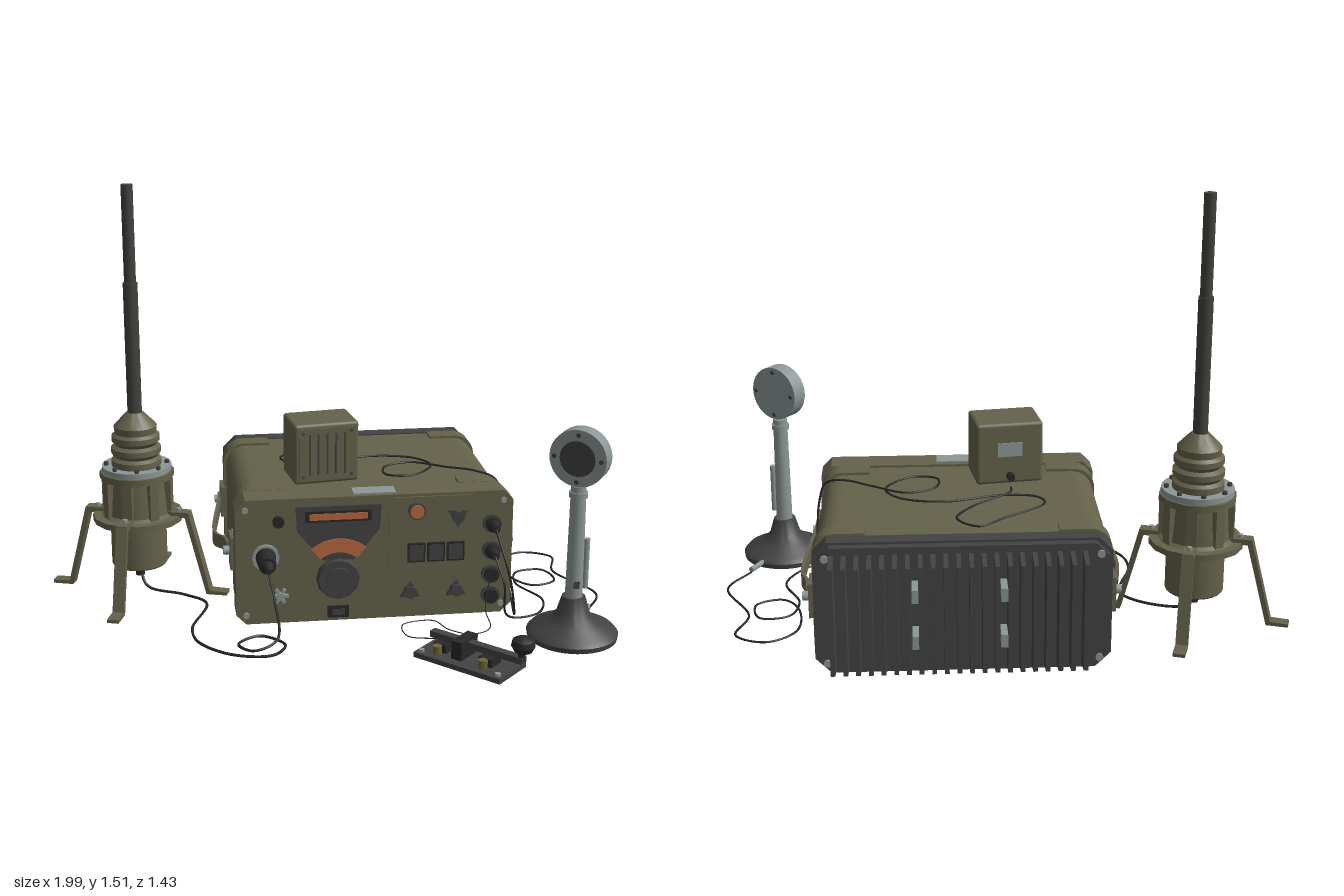
import * as THREE from 'three';
import { toCreasedNormals } from 'three/addons/utils/BufferGeometryUtils.js';
import { RoundedBoxGeometry } from 'three/addons/geometries/RoundedBoxGeometry.js';

const paint = (name, color) => Object.assign(new THREE.MeshStandardMaterial({ color }), { name });
const olive = paint('olive', 0x64624a);
const dark = paint('dark grey', 0x434343);
const black = paint('black', 0x282828);
const steel = paint('light steel', 0x8d9696);
const orange = paint('amber', 0xb8683f);
const mastGrey = paint('mast grey', 0x41423d);
const brass = paint('brass', 0x6e6434);

function add(parent, name, geo, mat, x = 0, y = 0, z = 0) {
  const m = new THREE.Mesh(geo, mat);
  m.name = name;
  m.position.set(x, y, z);
  parent.add(m);
  return m;
}
function group(parent, name, x = 0, y = 0, z = 0) {
  const g = new THREE.Group();
  g.name = name;
  g.position.set(x, y, z);
  parent.add(g);
  return g;
}
const box = (w, h, d) => new THREE.BoxGeometry(w, h, d);
const cyl = (r, h, n = 24, r2 = r) => new THREE.CylinderGeometry(r2, r, h, n);
// Cylinder whose axis runs along z
const disc = (r, d, n = 24, rFront = r) => cyl(r, d, n, rFront).rotateX(Math.PI / 2);
const lathe = (pts, n = 32) =>
  toCreasedNormals(new THREE.LatheGeometry(pts.map(p => new THREE.Vector2(...p)), n), 0.6);
function extrude(shape, depth) {
  return toCreasedNormals(new THREE.ExtrudeGeometry(shape, { depth, bevelEnabled: false, curveSegments: 10 }), 0.5);
}
const polygon = pts => new THREE.Shape(pts.map(p => new THREE.Vector2(...p)));
// Rectangle centred on the origin with cut corners
const cutRect = (w, h, c) => polygon([[-w + c, -h], [w - c, -h], [w, -h + c], [w, h - c], [w - c, h], [-w + c, h], [-w, h - c], [-w, -h + c]]);
function roundRect(w, h, r) {
  const s = new THREE.Shape();
  s.absarc(w - r, -h + r, r, -Math.PI / 2, 0);
  s.absarc(w - r, h - r, r, 0, Math.PI / 2);
  s.absarc(-w + r, h - r, r, Math.PI / 2, Math.PI);
  s.absarc(-w + r, -h + r, r, Math.PI, Math.PI * 1.5);
  return s;
}
function cable(parent, name, pts, r = 0.005) {
  const curve = new THREE.CatmullRomCurve3(pts.map(p => new THREE.Vector3(...p)));
  add(parent, name, new THREE.TubeGeometry(curve, pts.length * 9, r, 6), black);
}

function buildRadio(root) {
  const g = group(root, 'radio', 0.145, 0.25, 0);
  // Case, front frame and rear plate
  add(g, 'case', extrude(roundRect(0.48, 0.222, 0.075), 0.64), olive, 0, 0, -0.56);
  add(g, 'frontFrame', extrude(cutRect(0.49, 0.23, 0.035), 0.1), olive, 0, 0, 0.07);
  add(g, 'rearRim', extrude(cutRect(0.483, 0.226, 0.045), 0.055), dark, 0, 0, -0.61);
  add(g, 'rearPlate', extrude(cutRect(0.472, 0.218, 0.045), 0.03), dark, 0, 0, -0.638);
  // Wrapped corner straps and handle mounts
  const wrap = new THREE.Shape();
  wrap.moveTo(0.315, 0.21);
  wrap.lineTo(0.41, 0.21);
  wrap.absarc(0.41, 0.151, 0.06, Math.PI / 2, 0, true);
  wrap.lineTo(0.47, 0.06);
  wrap.lineTo(0.489, 0.06);
  wrap.absarc(0.413, 0.155, 0.076, 0, Math.PI / 2);
  wrap.lineTo(0.315, 0.231);
  const wrapGeo = extrude(wrap, 0.07).translate(0, 0, -0.035);
  for (const z of [0.035, -0.515]) {
    for (const [rx, ry] of [[0, 0], [0, Math.PI], [Math.PI, 0], [Math.PI, Math.PI]])
      add(g, 'cornerStrap', wrapGeo, olive, 0, 0, z).rotation.set(rx, ry, 0);
    for (const s of [-1, 1]) {
      add(g, 'bottomFoot', box(0.09, 0.012, 0.07), olive, s * 0.36, -0.23, z);
      add(g, 'handleMount', box(0.025, 0.12, 0.09), olive, s * 0.49, 0, z);
      add(g, 'handleBolt', cyl(0.016, 0.025, 12).rotateZ(Math.PI / 2), steel, s * 0.512, 0, z);
      for (const y of [-0.07, 0.07]) add(g, 'mountScrew', box(0.012, 0.014, 0.014), steel, s * 0.487, y, z);
    }
  }
  // Sagging carrying straps
  for (const s of [-1, 1]) {
    const strap = new THREE.BoxGeometry(0.012, 0.05, 0.54, 1, 1, 18);
    const p = strap.attributes.position;
    for (let i = 0; i < p.count; i++) {
      const k = 0.5 + 0.5 * Math.cos((p.getZ(i) / 0.27) * Math.PI);
      p.setX(i, p.getX(i) + s * 0.035 * k);
      p.setY(i, p.getY(i) - 0.05 * k);
    }
    add(g, 'carryStrap', toCreasedNormals(strap, 0.6), olive, s * 0.508, 0.005, -0.24);
  }
  // Cooling fins with slanted ends, and lugs between them
  const fin = extrude(polygon([[0.6, -0.205], [0.63, -0.205], [0.718, -0.19], [0.718, 0.18], [0.63, 0.195], [0.6, 0.195]]), 0.015).rotateY(Math.PI / 2);
  for (let i = 0; i < 21; i++) add(g, 'coolingFin', fin, dark, -0.397 + i * 0.0405, 0, 0);
  for (const x of [-0.135, 0.148]) for (const y of [-0.08, 0.08]) add(g, 'rearLug', box(0.036, 0.045, 0.084), steel, x, y, -0.674);
  for (const x of [-0.455, 0.455]) for (const y of [-0.195, 0.195]) {
    add(g, 'panelScrew', disc(0.011, 0.012, 10), steel, x, y, 0.172);
    add(g, 'rearScrew', disc(0.013, 0.012, 10), steel, x * 0.97, y * 0.94, -0.64);
  }
  add(g, 'topLabel', box(0.15, 0.006, 0.065), steel, 0, 0.232, 0.122);
  add(g, 'bottomSlot', box(0.32, 0.006, 0.012), black, 0, -0.222, -0.25);
}

function buildPanel(root) {
  const g = group(root, 'controlPanel', 0, 0, 0.17);
  // Tuning display
  add(g, 'tuningPlate', extrude(polygon([[-0.13, 0.36], [-0.04, 0.25], [0.07, 0.25], [0.16, 0.36], [0.165, 0.45], [-0.135, 0.45]]), 0.008), dark);
  add(g, 'scaleFrame', box(0.23, 0.04, 0.004), black, 0.015, 0.413, 0.009);
  add(g, 'scaleStrip', box(0.205, 0.024, 0.006), orange, 0.015, 0.413, 0.01);
  const arc = new THREE.Shape();
  arc.absarc(0, 0, 0.15, 0.87, Math.PI - 0.87);
  arc.absarc(0, 0, 0.1, Math.PI - 0.87, 0.87, true);
  add(g, 'scaleArc', extrude(arc, 0.005), orange, 0.015, 0.18, 0.008);
  add(g, 'tuningKnob', disc(0.08, 0.025, 12, 0.072), dark, 0.015, 0.18, 0.008);
  add(g, 'tuningKnobCap', disc(0.045, 0.012, 20), dark, 0.015, 0.18, 0.024);
  add(g, 'counterFrame', box(0.075, 0.042, 0.012), black, 0.015, 0.055, 0.004);
  add(g, 'counterWindow', box(0.045, 0.022, 0.006), dark, 0.015, 0.055, 0.01);
  // Switch area
  add(g, 'switchPlate', extrude(cutRect(0.155, 0.135, 0.02), 0.006), olive, 0.345, 0.335, 0);
  add(g, 'lampRing', disc(0.031, 0.018), dark, 0.29, 0.42, 0.008);
  add(g, 'lamp', disc(0.025, 0.014), orange, 0.29, 0.42, 0.015);
  for (const x of [0.29, 0.36, 0.43]) {
    add(g, 'switchFrame', box(0.062, 0.07, 0.012), black, x, 0.265, 0.008);
    add(g, 'switchKey', box(0.05, 0.056, 0.014), dark, x, 0.265, 0.01);
  }
  for (const [x, y, turn] of [[0.435, 0.395, 0], [0.27, 0.12, Math.PI], [0.435, 0.12, Math.PI]]) {
    add(g, 'selectorKnob', disc(0.04, 0.014, 3), dark, x, y, 0.01).rotation.z = turn;
    add(g, 'selectorHub', disc(0.022, 0.03, 12), dark, x, y, 0.014);
  }
  add(g, 'smallButton', disc(0.02, 0.02), black, -0.195, 0.4, 0.008);
  // Star-shaped ground terminal
  add(g, 'groundTerminal', disc(0.014, 0.026, 12), steel, -0.19, 0.125, 0.008);
  for (let i = 0; i < 3; i++) add(g, 'groundStar', box(0.058, 0.011, 0.014), steel, -0.19, 0.125, 0.008).rotation.z = i * Math.PI / 3;
  // Connectors
  add(g, 'aerialSocket', disc(0.048, 0.014, 12), steel, -0.24, 0.27, 0.006);
  add(g, 'aerialPlug', disc(0.036, 0.07, 16, 0.03), black, -0.24, 0.27, 0.045).rotation.x = 0.1;
  add(g, 'aerialPlugTail', disc(0.026, 0.05, 12, 0.01), black, -0.24, 0.265, 0.1);
  for (const y of [0.36, 0.26, 0.17, 0.09]) {
    add(g, 'socketRing', disc(0.034, 0.012, 12), dark, 0.56, y, 0.005);
    add(g, 'socketCap', disc(0.026, 0.025, 12), black, 0.56, y, 0.015);
  }
  for (const y of [0.36, 0.26]) add(g, 'plug', disc(0.027, 0.065, 14, 0.014), black, 0.56, y, 0.04);
}

function buildSpeaker(root) {
  const g = group(root, 'speaker', -0.02, 0.485, -0.055);
  g.rotation.y = 0.14;
  add(g, 'speakerBox', new RoundedBoxGeometry(0.235, 0.22, 0.175, 2, 0.012), olive, 0, 0.11, 0);
  add(g, 'speakerFace', box(0.2, 0.19, 0.012), olive, 0, 0.11, 0.088);
  for (let i = 0; i < 5; i++) add(g, 'ventSlot', box(0.007, 0.15, 0.004), dark, -0.064 + i * 0.032, 0.11, 0.093);
  for (const x of [-0.088, 0.088]) for (const y of [0.03, 0.19]) add(g, 'faceScrew', disc(0.006, 0.006, 8), dark, x, y, 0.094);
  add(g, 'speakerLabel', box(0.085, 0.05, 0.006), steel, 0, 0.125, -0.088);
  add(g, 'cableGland', disc(0.014, 0.03, 10), black, 0, 0.03, -0.098);
}

function buildAntenna(root) {
  const g = group(root, 'antenna', -0.675, 0, -0.235);
  add(g, 'upperMast', cyl(0.021, 0.36, 16), mastGrey, 0, 1.337, 0);
  add(g, 'lowerMast', cyl(0.026, 0.5, 16), mastGrey, 0, 0.92, 0);
  add(g, 'ribbedCone', lathe([[0.09, 0.49], [0.09, 0.52], [0.076, 0.53], [0.09, 0.545], [0.09, 0.565], [0.074, 0.575],
    [0.087, 0.59], [0.087, 0.61], [0.075, 0.62], [0.078, 0.645], [0.05, 0.675], [0.03, 0.695], [0, 0.695]]), olive);
  add(g, 'clampRing', cyl(0.126, 0.02, 32), steel, 0, 0.487, 0);
  add(g, 'housing', lathe([[0, 0.115], [0.098, 0.115], [0.102, 0.12], [0.102, 0.28], [0.135, 0.285], [0.135, 0.31], [0.118, 0.32], [0.105, 0.478], [0, 0.478]]), olive);
  add(g, 'upperCollar', cyl(0.135, 0.025, 12), olive, 0, 0.463, 0);
  add(g, 'legFlange', cyl(0.165, 0.022, 16), olive, 0, 0.3, 0);
  add(g, 'cableOutlet', cyl(0.018, 0.05, 10), black, 0, 0.09, 0);
  for (let i = 0; i < 8; i++) {
    const a = i * Math.PI / 4;
    add(g, 'clampBolt', cyl(0.009, 0.014, 6), dark, 0.11 * Math.cos(a), 0.502, 0.11 * Math.sin(a));
    const rib = group(g, 'ribMount');
    rib.rotation.y = a - 0.3;
    add(rib, 'housingRib', box(0.03, 0.15, 0.035), olive, 0.115, 0.385, 0);
  }
  // Four splayed legs
  const profile = polygon([[0.12, 0.305], [0.182, 0.305], [0.258, 0.012], [0.335, 0.012], [0.335, 0.024], [0.272, 0.026], [0.196, 0.325], [0.12, 0.325]]);
  for (let i = 0; i < 4; i++) {
    const leg = group(g, 'leg');
    leg.rotation.y = -0.31 + i * Math.PI / 2;
    add(leg, 'legBar', extrude(profile, 0.042), olive, 0, 0, -0.021);
    add(leg, 'legBolt', cyl(0.009, 0.016, 8), steel, 0.155, 0.328, 0);
  }
}

function buildMicrophone(root) {
  const g = group(root, 'microphone', 0.805, 0, 0.38);
  add(g, 'micBase', lathe([[0, 0.012], [0.155, 0.012], [0.158, 0.03], [0.145, 0.045], [0.09, 0.065], [0.058, 0.1], [0.04, 0.16], [0, 0.16]], 40), dark);
  add(g, 'micPole', cyl(0.03, 0.4, 20, 0.026), steel, 0, 0.36, 0);
  add(g, 'poleCollar', cyl(0.032, 0.02, 20), steel, 0, 0.53, 0);
  add(g, 'poleClip', cyl(0.011, 0.18, 10), steel, 0.036, 0.28, 0.005);
  add(g, 'poleSwitch', box(0.02, 0.025, 0.015), dark, 0, 0.21, 0.024);
  add(g, 'baseCableSleeve', cyl(0.01, 0.08, 10), steel, 0.095, 0.03, -0.16).rotation.set(Math.PI / 2, 0, 0.5);
  const head = group(g, 'micHead', 0, 0.665, 0.005);
  head.rotation.y = -0.61;
  add(head, 'headShell', disc(0.1, 0.06, 32), steel);
  add(head, 'headGrille', disc(0.062, 0.008, 28), dark, 0, 0, 0.031);
  for (let i = 0; i < 4; i++) for (const s of [-1, 1]) {
    const a = i * Math.PI / 2;
    add(head, 'headScrew', disc(0.008, 0.008, 8), dark, 0.082 * Math.cos(a), 0.082 * Math.sin(a), s * 0.031);
  }
}

function buildKey(root) {
  const g = group(root, 'telegraphKey', 0.41, 0, 0.528);
  g.rotation.y = -Math.PI / 4;
  add(g, 'keyBase', box(0.34, 0.018, 0.165), dark, 0, 0.013, 0);
  add(g, 'keyLever', box(0.36, 0.022, 0.03), dark, 0.03, 0.07, 0);
  add(g, 'leverBridge', box(0.04, 0.065, 0.1), black, -0.02, 0.056, 0);
  for (const x of [-0.1, 0.08]) {
    add(g, 'contactBlock', box(0.05, 0.03, 0.06), black, x, 0.036, 0);
    for (const s of [-1, 1]) add(g, 'terminal', cyl(0.016, 0.03, 10), brass, x, 0.036, s * 0.042);
  }
  for (const x of [-0.15, 0.15]) for (const s of [-1, 1]) add(g, 'baseScrew', cyl(0.01, 0.01, 8), steel, x, 0.026, s * 0.062);
  add(g, 'keyStem', cyl(0.012, 0.05, 10), black, 0.2, 0.09, 0);
  add(g, 'keyKnob', lathe([[0, 0.1], [0.03, 0.103], [0.04, 0.122], [0.036, 0.142], [0.018, 0.152], [0, 0.153]], 20), black, 0.205, 0, 0);
}

export function createModel() {
  const root = new THREE.Group();
  root.name = 'fieldRadioSet';
  [buildRadio, buildPanel, buildSpeaker, buildAntenna, buildMicrophone, buildKey].forEach(build => build(root));
  // Cables
  cable(root, 'aerialCable', [[-0.675, 0.09, -0.235], [-0.65, 0.03, -0.2], [-0.52, 0.015, -0.14], [-0.44, 0.015, -0.05], [-0.5, 0.015, 0.17],
    [-0.48, 0.015, 0.29], [-0.37, 0.015, 0.4], [-0.24, 0.015, 0.42], [-0.19, 0.015, 0.34], [-0.27, 0.02, 0.27], [-0.35, 0.025, 0.34],
    [-0.3, 0.03, 0.41], [-0.22, 0.06, 0.39], [-0.225, 0.18, 0.34], [-0.24, 0.265, 0.28]]);
  const top = [[-0.035, -0.16], [-0.03, -0.2], [0.1, -0.32], [0.16, -0.43], [0.09, -0.5], [0, -0.43], [-0.14, -0.31], [-0.12, -0.25], [0, -0.23],
    [0.2, -0.28], [0.35, -0.24], [0.4, -0.15], [0.31, -0.04], [0.22, -0.06], [0.23, -0.15], [0.33, -0.19], [0.45, -0.12], [0.55, -0.06]];
  cable(root, 'speakerCable', [...top.map(([x, z]) => [x, 0.477, z]), [0.615, 0.455, -0.03], [0.64, 0.38, -0.04], [0.65, 0.2, -0.06],
    [0.67, 0.04, 0.02], [0.64, 0.03, 0.22], [0.6, 0.2, 0.3], [0.56, 0.36, 0.24]], 0.004);
  const floor = [[0.92, 0.19], [0.99, 0.05], [0.89, -0.18], [0.92, -0.33], [0.81, -0.385], [0.715, -0.31], [0.72, -0.13], [0.78, -0.055],
    [0.87, -0.09], [0.85, -0.2], [0.75, -0.19], [0.72, -0.08], [0.78, 0.08], [0.73, 0.2]];
  cable(root, 'microphoneCable', [...floor.map(([x, z]) => [x, 0.018, z]), [0.6, 0.05, 0.27], [0.58, 0.18, 0.3], [0.56, 0.26, 0.24]], 0.004);
  cable(root, 'keyCable', [[0.33, 0.025, 0.38], [0.24, 0.012, 0.32], [0.24, 0.012, 0.22], [0.35, 0.012, 0.2], [0.39, 0.012, 0.28], [0.46, 0.012, 0.33],
    [0.54, 0.012, 0.28], [0.53, 0.06, 0.24], [0.555, 0.17, 0.19]], 0.002);
  return root;
}
